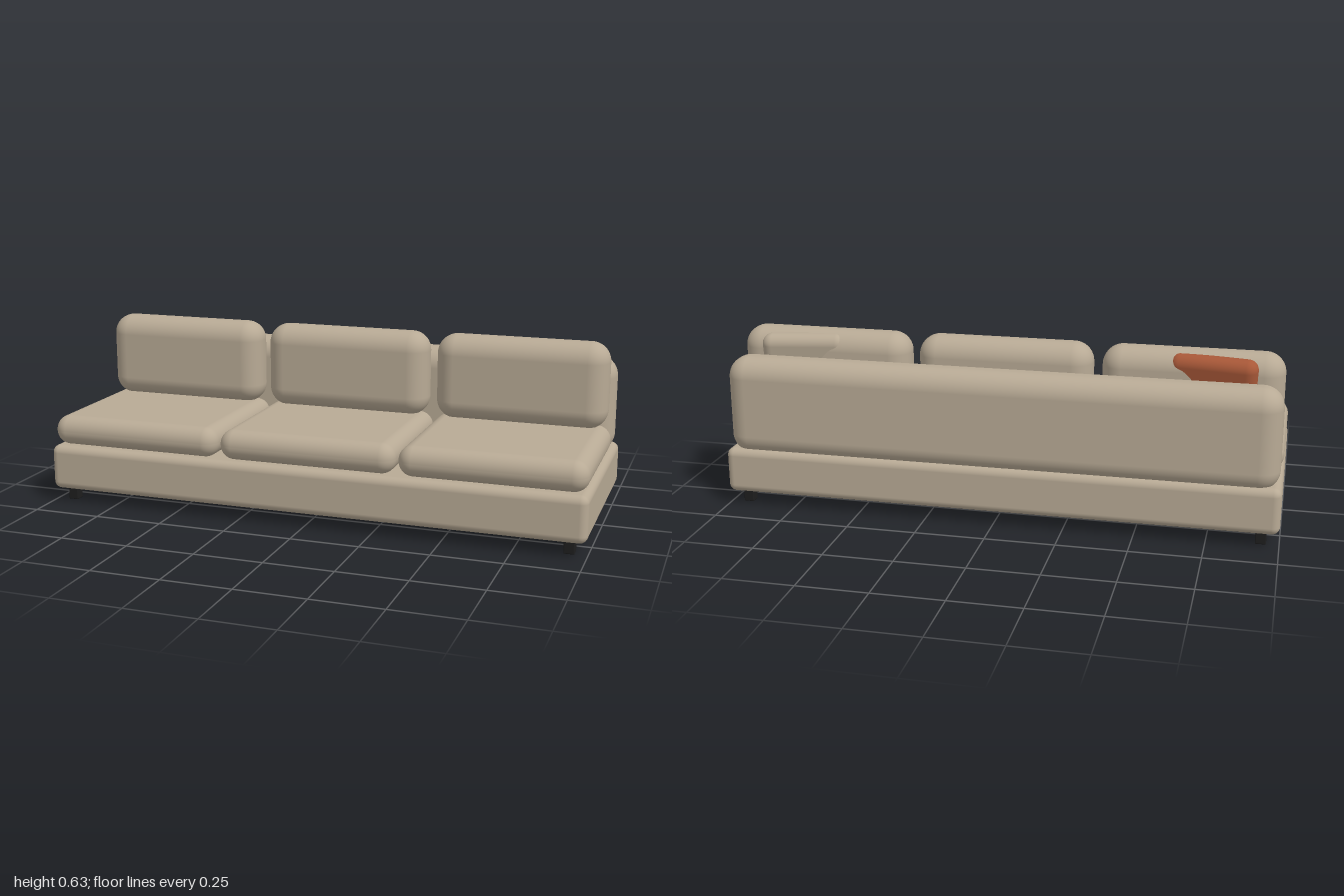
import * as THREE from 'three';
import { RoundedBoxGeometry } from 'three/addons/geometries/RoundedBoxGeometry.js';

const material = (name, color) => {
  const m = new THREE.MeshStandardMaterial({ color });
  m.name = name;
  return m;
};

export function createModel() {
  const sofa = new THREE.Group();
  sofa.name = 'sofa';
  const fabric = material('beige fabric', 0xb8aa95);
  const rust = material('rust fabric', 0xa85838);
  const black = material('black legs', 0x1e1e1e);

  // Rounded block given by its size, centre and edge radius
  const block = (name, size, centre, radius, mat, segments = 6) => {
    const mesh = new THREE.Mesh(new RoundedBoxGeometry(...size, segments, radius), mat);
    mesh.name = name;
    mesh.position.set(...centre);
    sofa.add(mesh);
    return mesh;
  };

  // Plinth and long backrest
  block('base', [2, 0.167, 0.768], [0, 0.1315, 0], 0.028, fabric);
  block('backrest', [1.98, 0.363, 0.163], [0, 0.3715, -0.302], 0.074, fabric, 8);

  // Three seat cushions with a back cushion on each
  ['right', 'middle', 'left'].forEach((side, i) => {
    const x = (i - 1) * 0.667 - 0.002;
    block(side + 'SeatCushion', [0.657, 0.11, 0.584], [x, 0.268, 0.078], 0.053, fabric, 8);
    block(side + 'BackCushion', [0.634, 0.318, 0.153], [x, 0.473, -0.1535], 0.072, fabric, 8);
  });

  // Throw pillows tucked behind the outer cushions, leaning back
  for (const s of [-1, 1]) {
    const pillow = block(s < 0 ? 'rightPillow' : 'leftPillow', [0.31, 0.3, 0.08],
      [s * 0.742, 0.471, -0.19], 0.038, s < 0 ? rust : fabric, 8);
    pillow.rotation.set(-0.13, s * 0.13, 0);
  }

  // Four short legs
  for (const x of [-0.937, 0.937]) {
    for (const z of [-0.324, 0.324]) {
      block('leg', [0.038, 0.052, 0.038], [x, 0.026, z], 0.004, black, 2);
    }
  }
  return sofa;
}
